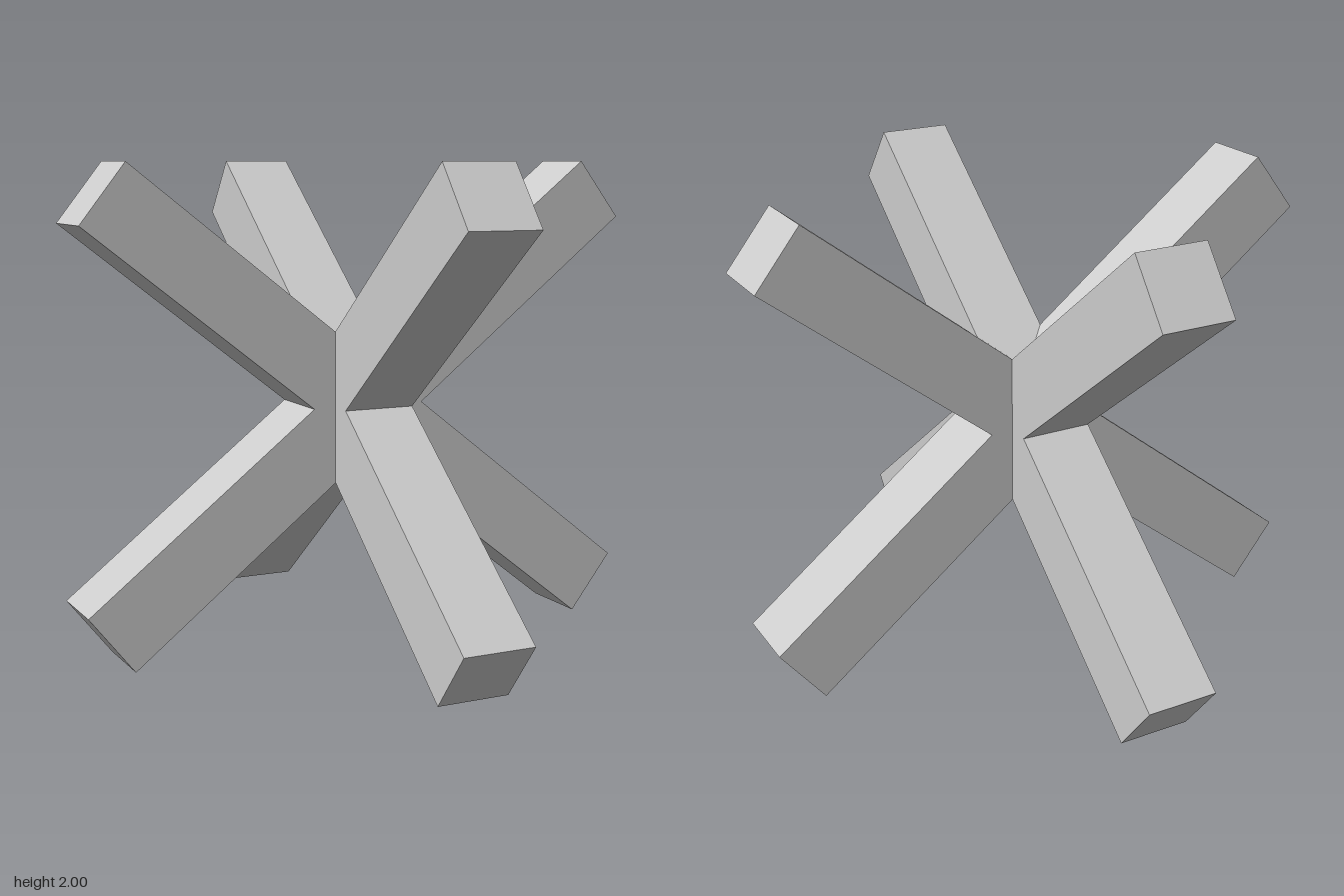
import * as THREE from 'three';

const LENGTH = 2.852; // full length of a bar
const THICK = 0.305; // side of its square section
const TILT = Math.atan2(0.88, 1.122); // slope above the horizontal

export function createModel() {
  const model = new THREE.Group();
  model.name = 'crossedBars';
  const material = new THREE.MeshStandardMaterial({ color: 0xcccccc, flatShading: true });
  const geometry = new THREE.BoxGeometry(LENGTH, THICK, THICK);

  // Four square bars cross at the centre: two slopes in each diagonal vertical plane
  for (const [plane, turn] of [['rightDiagonal', Math.PI / 4], ['leftDiagonal', -Math.PI / 4]]) {
    for (const [slope, sign] of [['RisingBar', 1], ['FallingBar', -1]]) {
      const bar = new THREE.Mesh(geometry, material);
      bar.name = plane + slope;
      bar.rotation.set(0, turn, sign * TILT, 'YZX');
      bar.position.y = 1;
      model.add(bar);
    }
  }
  return model;
}
